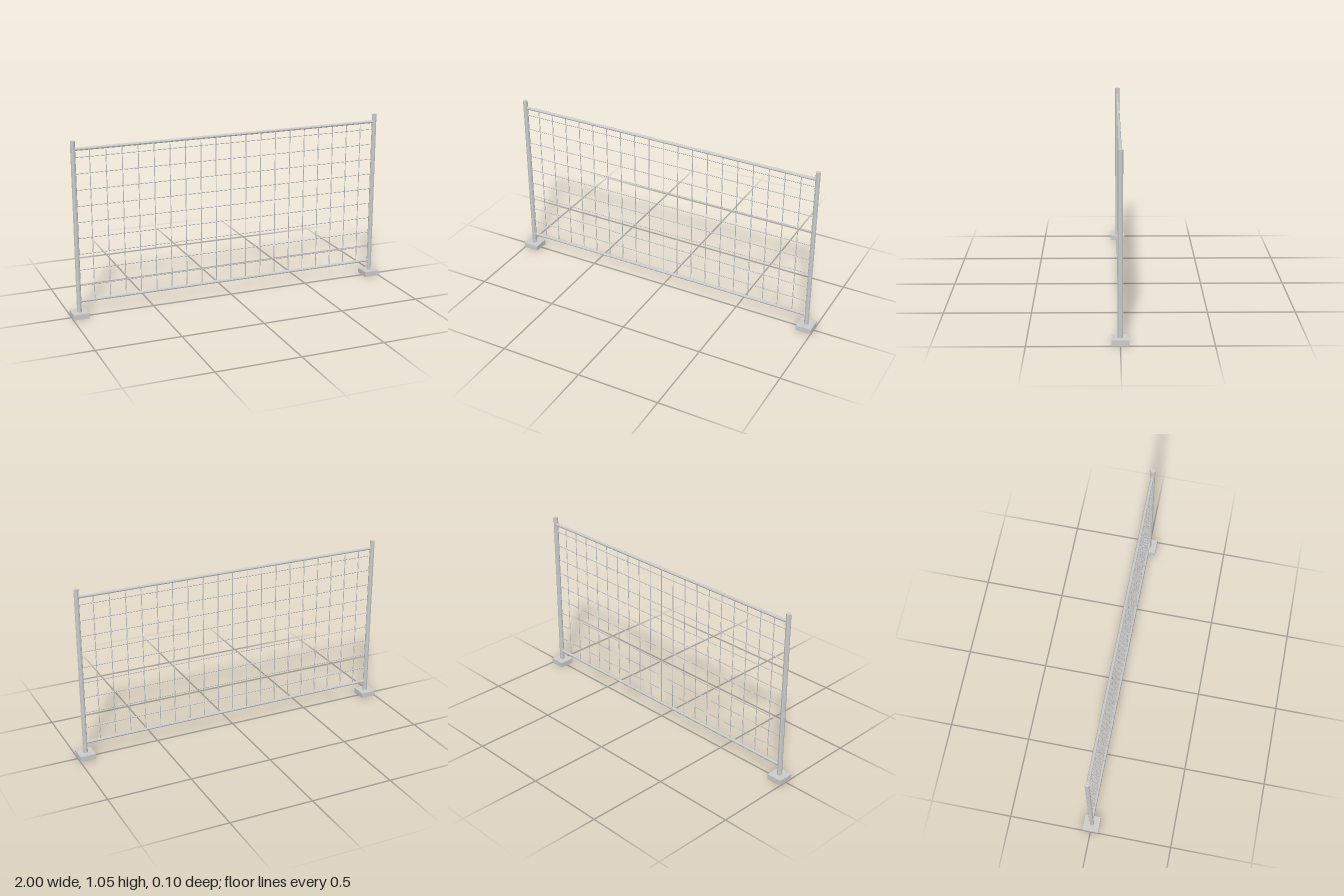
import * as THREE from 'three';

const CELL = 2 / 21; // mesh spacing; the whole panel follows this module

export function createModel() {
  const group = new THREE.Group();
  const material = new THREE.MeshStandardMaterial({ color: 0xcccccc, flatShading: true });

  const add = (parent, name, geometry, x, y, z = 0) => {
    const mesh = new THREE.Mesh(geometry, material);
    mesh.name = name;
    mesh.position.set(x, y, z);
    parent.add(mesh);
    return mesh;
  };
  const bar = (radius, length, sides) => new THREE.CylinderGeometry(radius, radius, length, sides);

  const postX = 10 * CELL, postHeight = 11 * CELL;
  const bottomY = CELL, topY = 10.5 * CELL;

  // Posts on square foot plates
  for (const [side, s] of [['left', 1], ['right', -1]]) {
    add(group, side + 'Post', bar(0.0143, postHeight, 8), s * postX, postHeight / 2);
    add(group, side + 'Foot', new THREE.BoxGeometry(CELL, 0.032, CELL), s * postX, 0.016);
  }

  // Top and bottom rails
  const rail = bar(0.0095, 2 * postX, 8).rotateZ(Math.PI / 2);
  add(group, 'topRail', rail, 0, topY);
  add(group, 'bottomRail', rail, 0, bottomY);

  // Wire mesh
  const wires = new THREE.Group();
  wires.name = 'wireMesh';
  group.add(wires);
  const upright = bar(0.0026, topY - bottomY, 6);
  for (let i = -9; i <= 9; i++) add(wires, 'verticalWire', upright, i * CELL, (topY + bottomY) / 2);
  const cross = bar(0.0026, 2 * postX, 6).rotateZ(Math.PI / 2);
  for (let i = 2; i <= 10; i++) add(wires, 'horizontalWire', cross, 0, i * CELL);

  return group;
}
